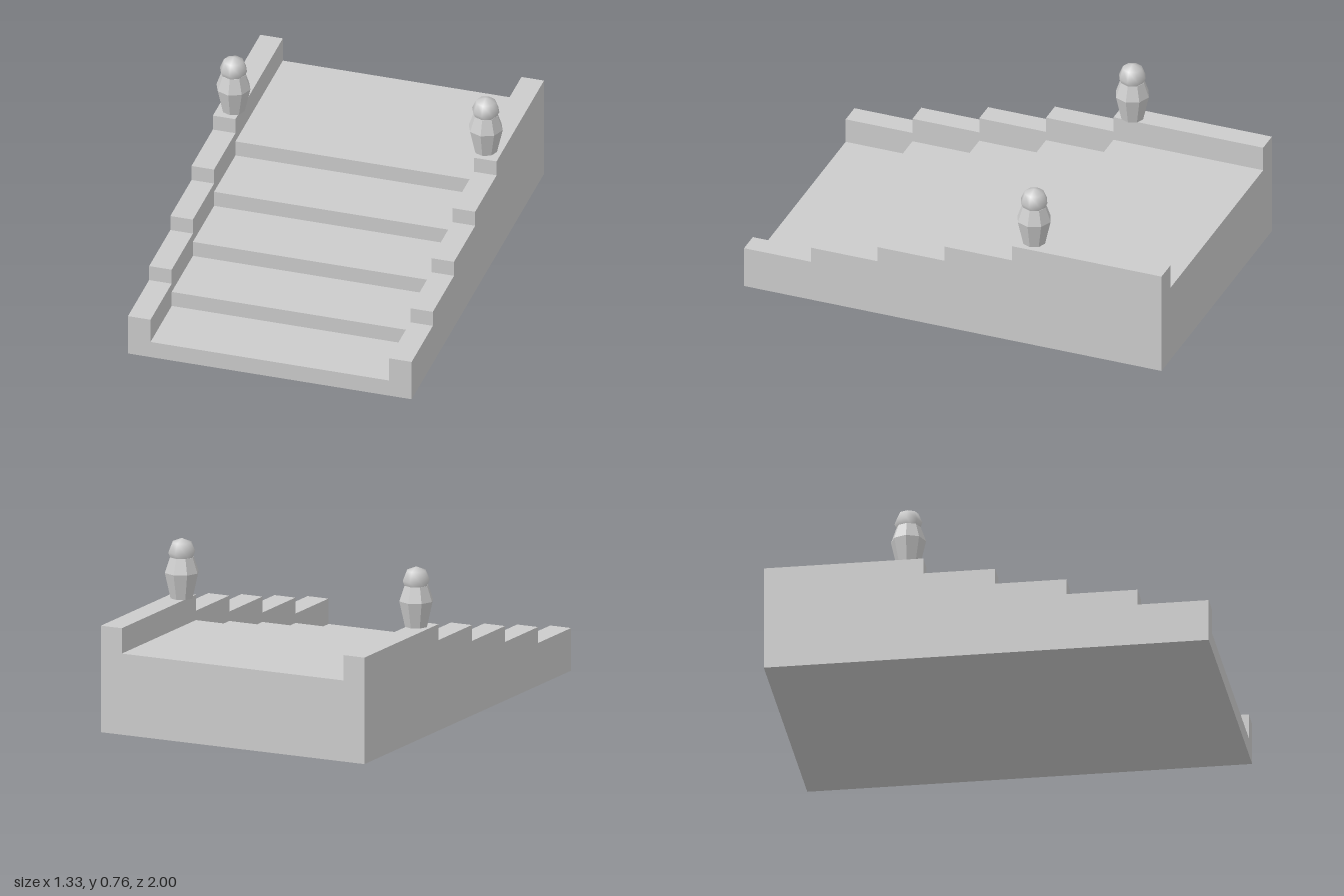
import * as THREE from 'three';

const grey = new THREE.MeshStandardMaterial({ color: 0xcccccc });
const greyFlat = new THREE.MeshStandardMaterial({ color: 0xcccccc, flatShading: true });

const RISER_Z = [0.68, 0.36, 0.04, -0.283]; // front faces of the steps
const RISE = 0.073;
const INNER = 0.555, OUTER = 0.66;

// Stepped side profile, starting at the given height, extruded across x0..x1
function steppedBlock(name, firstHeight, x0, x1) {
  const shape = new THREE.Shape();
  let y = firstHeight;
  shape.moveTo(-1, 0);
  shape.lineTo(-1, y);
  for (const z of RISER_Z) {
    shape.lineTo(-z, y);
    y += RISE;
    shape.lineTo(-z, y);
  }
  shape.lineTo(1, y);
  shape.lineTo(1, 0);
  const geo = new THREE.ExtrudeGeometry(shape, { depth: x1 - x0, bevelEnabled: false });
  geo.rotateY(Math.PI / 2);
  geo.translate(x0, 0, 0);
  const mesh = new THREE.Mesh(geo, grey);
  mesh.name = name;
  return mesh;
}

// Eight-sided urn with a round cap
function finial(name, x) {
  const group = new THREE.Group();
  group.name = name;
  const profile = [[0, 0], [0.052, 0], [0.079, 0.118], [0.055, 0.188], [0, 0.188]]
    .map(([r, y]) => new THREE.Vector2(r, y));
  const urn = new THREE.Mesh(new THREE.LatheGeometry(profile, 8), greyFlat);
  urn.name = 'urn';
  const cap = new THREE.Mesh(new THREE.SphereGeometry(0.063, 8, 4), grey);
  cap.name = 'cap';
  cap.position.y = 0.21;
  group.add(urn, cap);
  group.position.set(x, 0.487, -0.36);
  return group;
}

export function createModel() {
  const model = new THREE.Group();
  model.name = 'staircase';

  // Steps and landing
  model.add(steppedBlock('steps', 0.079, -INNER, INNER));

  // Stepped side walls
  model.add(steppedBlock('leftWall', 0.195, INNER, OUTER));
  model.add(steppedBlock('rightWall', 0.195, -OUTER, -INNER));

  // Finials on the walls at the top step
  model.add(finial('leftFinial', 0.586));
  model.add(finial('rightFinial', -0.588));

  return model;
}
